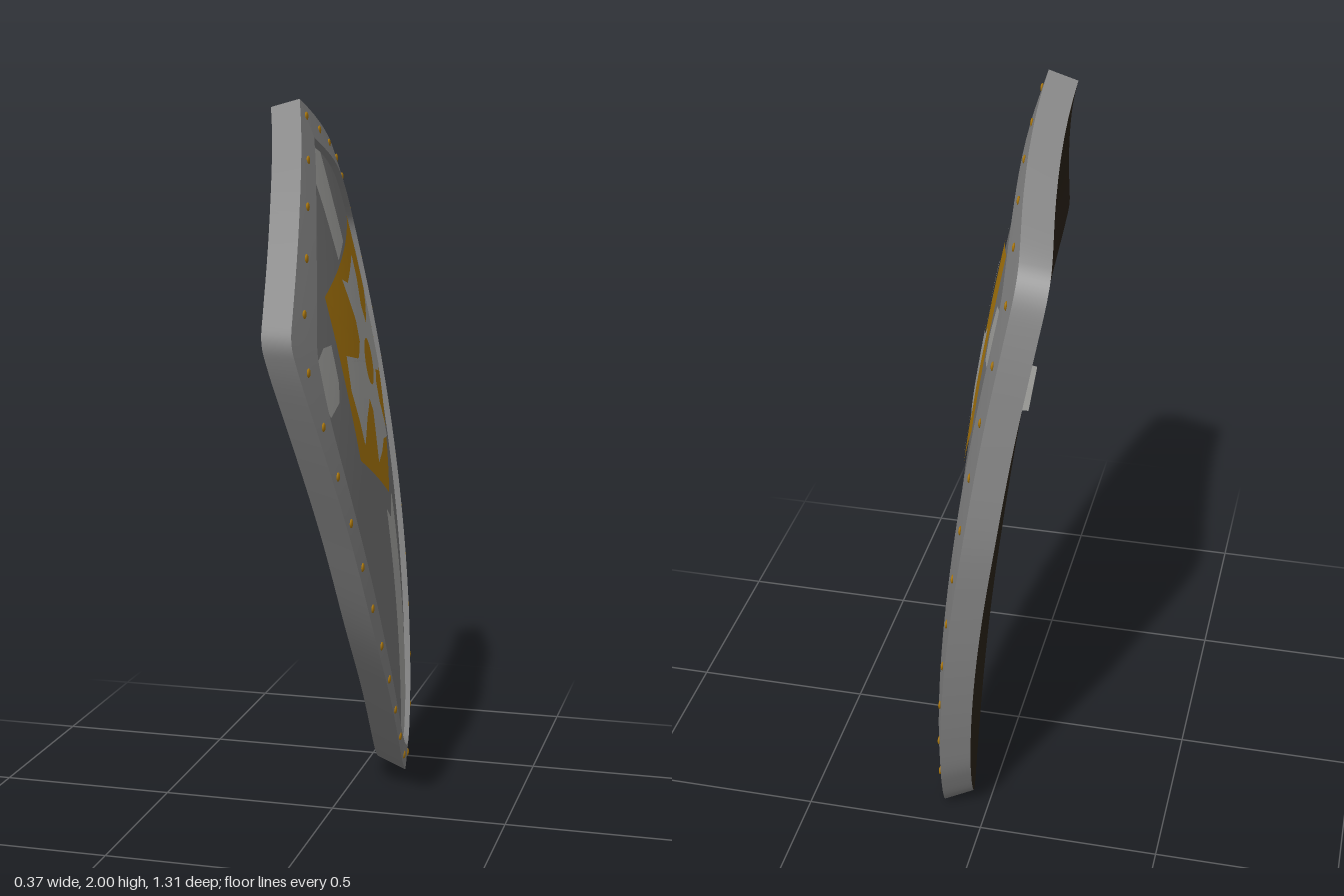
import * as THREE from 'three';

const mat = (name, color, side = THREE.FrontSide) => {
  const m = new THREE.MeshStandardMaterial({ color, side });
  m.name = name;
  return m;
};

// Shield axes on the (z, y) plane: s runs across, t runs along the leaning centre line
const CENTRE = [-0.04, 1.29];
const COS = 0.959, SIN = 0.283, THICK = 0.085;

// Depth of the curved shield face at (z, y)
function surface(z, y) {
  const dz = z - CENTRE[0], dy = y - CENTRE[1];
  const s = COS * dz - SIN * dy, t = SIN * dz + COS * dy;
  return 0.095 - 0.125 * t - 0.078 * t * t + 0.155 * s - 0.19 * s * s;
}

// Paired [z, y] control points, clockwise from the top point
const OUTER = [
  [0.186, 2], [-0.286, 1.87], [-0.5, 1.785], [-0.55, 1.727], [-0.585, 1.61], [-0.626, 1.345],
  [-0.653, 1.053], [-0.637, 0.814], [-0.605, 0.576], [-0.55, 0.31], [-0.5, 0.15], [-0.4, 0.003],
  [-0.286, 0.045], [-0.165, 0.14], [0.03, 0.353], [0.217, 0.586], [0.4, 0.894], [0.56, 1.186],
  [0.64, 1.36], [0.652, 1.42], [0.615, 1.493], [0.43, 1.743], [0.186, 2],
];
const INNER = [
  [0.154, 1.9], [-0.22, 1.8], [-0.4, 1.705], [-0.46, 1.65], [-0.49, 1.55], [-0.515, 1.33],
  [-0.535, 1.05], [-0.54, 0.83], [-0.527, 0.6], [-0.488, 0.33], [-0.44, 0.17], [-0.38, 0.098],
  [-0.276, 0.114], [-0.14, 0.21], [0.05, 0.44], [0.19, 0.65], [0.345, 0.92], [0.475, 1.2],
  [0.505, 1.32], [0.51, 1.38], [0.475, 1.465], [0.35, 1.68], [0.154, 1.9],
];

const mixLoops = (a, b, k) => a.map((p, i) => [p[0] + (b[i][0] - p[0]) * k, p[1] + (b[i][1] - p[1]) * k]);
const toCurve = (pts) => new THREE.CatmullRomCurve3(pts.map(([z, y]) => new THREE.Vector3(0, y, z)));
const smoothLoop = (pts) => toCurve(pts).getPoints(132).map((p) => [p.z, p.y]);
const scaleLoop = (loop, c, k) => loop.map(([z, y]) => [c[0] + (z - c[0]) * k, c[1] + (y - c[1]) * k]);

// Lay a loop on the curved face, raised by h
const lay = (loop, h) => loop.map(([z, y]) => [surface(z, y) + h, y, z]);

// Skin a list of equal-length loops
function loft(name, loops, material) {
  const n = loops[0].length, index = [];
  for (let r = 0; r < loops.length - 1; r++) {
    for (let i = 0; i < n - 1; i++) {
      const a = r * n + i, b = a + n;
      index.push(a, b, a + 1, a + 1, b, b + 1);
    }
  }
  const geo = new THREE.BufferGeometry();
  geo.setAttribute('position', new THREE.Float32BufferAttribute(loops.flat(2), 3));
  geo.setIndex(index);
  geo.computeVertexNormals();
  const mesh = new THREE.Mesh(geo, material);
  mesh.name = name;
  return mesh;
}

// Fill a loop with rings shrinking to a centre
function fill(name, loop, centre, h, rings, material) {
  const loops = [];
  for (let r = 0; r <= rings; r++) loops.push(lay(scaleLoop(loop, centre, Math.max(1 - r / rings, 0.001)), h));
  return loft(name, loops, material);
}

// Painted patch that follows the curved face
function patch(name, corners, centre, h, material) {
  const loop = [];
  corners.forEach((a, i) => {
    const b = corners[(i + 1) % corners.length];
    const steps = Math.ceil(Math.hypot(b[0] - a[0], b[1] - a[1]) / 0.05);
    for (let k = 0; k < steps; k++) loop.push([a[0] + (b[0] - a[0]) * k / steps, a[1] + (b[1] - a[1]) * k / steps]);
  });
  loop.push(loop[0]);
  return fill(name, loop, centre, h, 8, material);
}

export function createModel() {
  const rim = mat('rim steel', 0x868686);
  const panelGrey = mat('panel grey', 0x757575);
  const pale = mat('pale silver', 0xa6a6a3);
  const gold = mat('gold', 0xad790c);
  const dark = mat('dark backing', 0x2a2218);

  const shield = new THREE.Group();
  shield.name = 'shield';
  const outer = smoothLoop(OUTER), inner = smoothLoop(INNER);
  const backEdge = lay(scaleLoop(outer, CENTRE, 0.97), -THICK);

  // Body: rim face, outer wall, inner lip, front panel and backing
  shield.add(loft('rimFace', [0, 0.25, 0.5, 0.75, 1].map((k) => lay(mixLoops(outer, inner, k), 0.006 * k)), rim));
  shield.add(loft('rimWall', [backEdge, lay(outer, 0)], rim));
  shield.add(loft('rimLip', [lay(inner, 0.006), lay(scaleLoop(inner, CENTRE, 0.988), -0.012)], rim));
  const PANEL = -0.012;
  shield.add(fill('frontPanel', scaleLoop(inner, CENTRE, 0.988), CENTRE, PANEL, 14, panelGrey));
  const backLoops = [];
  for (let r = 0; r <= 12; r++) backLoops.push(lay(scaleLoop(outer, CENTRE, Math.max(0.97 * r / 12, 0.001)), -THICK));
  shield.add(loft('backing', backLoops, dark));

  // Four pale bands running out from the emblem
  const bands = {
    topBand: [[0.22, 1.83], [0.152, 1.88], [0.03, 1.86], [0.01, 1.74], [-0.016, 1.62], [0.117, 1.578], [0.17, 1.72]],
    bottomBand: [[-0.085, 0.868], [-0.154, 0.83], [-0.233, 0.889], [-0.34, 0.54], [-0.451, 0.205], [-0.395, 0.115], [-0.27, 0.125], [-0.2, 0.4]],
    leftBand: [[0.495, 1.345], [0.42, 1.382], [0.35, 1.382], [0.33, 1.28], [0.35, 1.233], [0.43, 1.207], [0.48, 1.25]],
    rightBand: [[-0.324, 1.568], [-0.45, 1.612], [-0.482, 1.515], [-0.488, 1.45], [-0.34, 1.424], [-0.308, 1.48]],
  };
  const middles = { topBand: [0.09, 1.73], bottomBand: [-0.27, 0.5], leftBand: [0.41, 1.3], rightBand: [-0.4, 1.51] };
  for (const key in bands) shield.add(patch(key, bands[key], middles[key], PANEL + 0.003, pale));

  // Emblem: gold pentagon, flared cross and central disc
  const pentagon = [[0.345, 1.504], [-0.25, 1.674], [-0.382, 1.234], [-0.154, 0.9], [0.217, 1.06]];
  shield.add(patch('emblemField', pentagon, CENTRE, PANEL + 0.005, gold));
  const cross = [
    [0.143, 1.53], [0.074, 1.515], [-0.02, 1.55], [-0.095, 1.578], [-0.106, 1.515], [-0.085, 1.44],
    [-0.127, 1.387], [-0.207, 1.424], [-0.265, 1.472], [-0.276, 1.398], [-0.292, 1.318], [-0.329, 1.239],
    [-0.26, 1.233], [-0.18, 1.249], [-0.143, 1.217], [-0.159, 1.159], [-0.223, 1.09], [-0.239, 1.048],
    [-0.138, 1.058], [-0.074, 1.032], [0, 1.016], [0, 1.08], [-0.005, 1.159], [0.027, 1.196],
    [0.095, 1.154], [0.16, 1.09], [0.19, 1.159], [0.239, 1.249], [0.239, 1.34], [0.19, 1.318],
    [0.095, 1.318], [0.048, 1.355], [0.053, 1.408], [0.074, 1.45],
  ];
  shield.add(patch('emblemCross', cross, CENTRE, PANEL + 0.008, pale));
  const disc = [];
  for (let i = 0; i < 28; i++) {
    const a = i / 28 * Math.PI * 2;
    disc.push([CENTRE[0] - 0.064 * Math.sin(a), CENTRE[1] + 0.064 * Math.cos(a)]);
  }
  shield.add(patch('emblemDisc', disc, CENTRE, PANEL + 0.011, gold));

  // Rivets spaced around the rim
  const rivets = new THREE.Group();
  rivets.name = 'rivets';
  const rivetGeo = new THREE.SphereGeometry(0.012, 10, 6);
  toCurve(mixLoops(OUTER, INNER, 0.45)).getSpacedPoints(32).slice(0, -1).forEach((p) => {
    const rivet = new THREE.Mesh(rivetGeo, gold);
    rivet.name = 'rivet';
    rivet.position.set(surface(p.z, p.y) + 0.003, p.y, p.z);
    rivet.scale.x = 0.35;
    rivets.add(rivet);
  });
  shield.add(rivets);

  // Bracket handle on the back
  const profile = new THREE.Shape([
    [-0.16, -0.01], [-0.13, -0.01], [-0.1, 0.05], [0.1, 0.05], [0.13, -0.01], [0.16, -0.01], [0.12, 0.075], [-0.12, 0.075],
  ].map(([x, y]) => new THREE.Vector2(x, y)));
  const handleGeo = new THREE.ExtrudeGeometry(profile, { depth: 0.065, bevelEnabled: false });
  handleGeo.translate(0, 0, -0.0325);
  const handle = new THREE.Mesh(handleGeo, pale);
  handle.name = 'handle';
  const across = new THREE.Vector3(-0.155, SIN, -COS).normalize();
  const along = new THREE.Vector3(-0.125, COS, SIN);
  along.addScaledVector(across, -along.dot(across)).normalize();
  const out = along.clone().cross(across);
  handle.quaternion.setFromRotationMatrix(new THREE.Matrix4().makeBasis(across, out, along));
  const hz = CENTRE[0] - 0.025, hy = CENTRE[1] - 0.09;
  handle.position.set(surface(hz, hy) - THICK, hy, hz);
  shield.add(handle);

  return shield;
}
